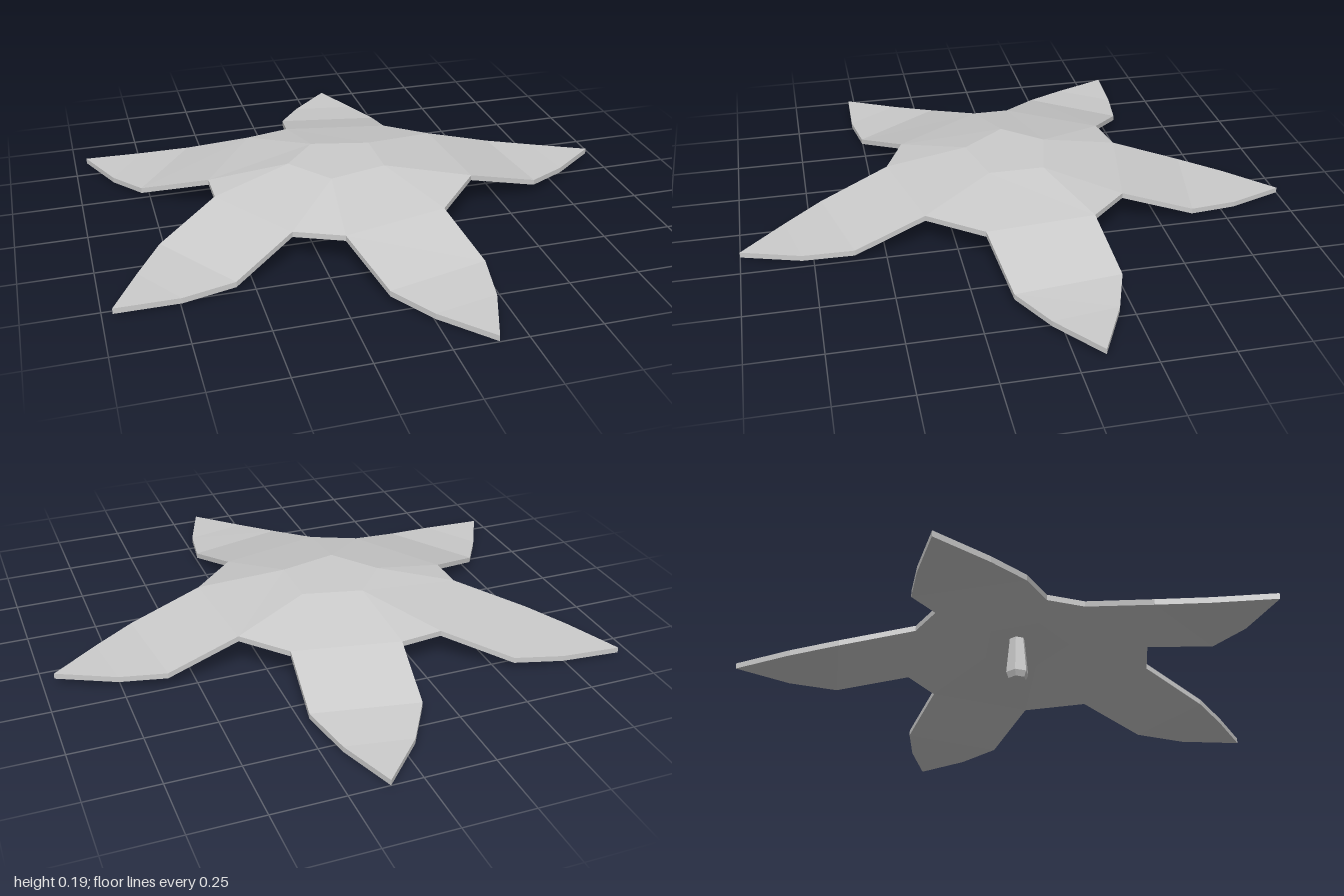
import * as THREE from 'three';

const THICKNESS = 0.02;

// Centre pentagon, anticlockwise from above: [x, z]
const CORE = [[0.06, 0.1], [0.06, -0.1], [-0.15, -0.15], [-0.27, -0.01], [-0.15, 0.15]];

// Each petal: outline [x, z] base, shoulder, middle, tip, middle, shoulder, base,
// and the top heights at base, shoulder, middle, tip
const PETALS = [
  { outline: [[0.37, 0.17], [0.64, 0.13], [0.79, 0.04], [0.96, -0.09], [0.76, -0.19], [0.6, -0.245], [0.34, -0.22]],
    heights: [0.135, 0.058, 0.046, 0.045] },
  { outline: [[0.2, -0.36], [0.23, -0.62], [0.185, -0.8], [0.11, -1], [-0.045, -0.84], [-0.14, -0.69], [-0.18, -0.435]],
    heights: [0.125, 0.045, 0.026, 0.02] },
  { outline: [[-0.34, -0.41], [-0.56, -0.55], [-0.74, -0.58], [-0.955, -0.595], [-0.87, -0.39], [-0.78, -0.245], [-0.55, -0.09]],
    heights: [0.12, 0.042, 0.028, 0.025] },
  { outline: [[-0.55, 0.045], [-0.77, 0.19], [-0.865, 0.34], [-0.965, 0.525], [-0.745, 0.53], [-0.565, 0.505], [-0.345, 0.37]],
    heights: [0.12, 0.042, 0.028, 0.025] },
  { outline: [[-0.18, 0.445], [-0.105, 0.7], [0, 0.84], [0.15, 1], [0.225, 0.79], [0.255, 0.61], [0.2, 0.355]],
    heights: [0.12, 0.045, 0.028, 0.022] },
];

function leafGeometry() {
  const core = CORE.map(([x, z]) => [x, 0.185, z]);
  const petals = PETALS.map(({ outline, heights }) =>
    outline.map(([x, z], i) => [x, heights[3 - Math.abs(3 - i)], z]));
  const positions = [];
  const lower = ([x, y, z]) => [x, y - THICKNESS, z];
  const fan = (pts) => {
    for (let i = 1; i < pts.length - 1; i++) positions.push(...pts[0], ...pts[i], ...pts[i + 1]);
  };
  // A facet on the top and its reversed copy on the underside
  const facet = (...pts) => {
    fan(pts);
    fan(pts.map(lower).reverse());
  };

  facet(...core);
  petals.forEach((p, i) => {
    const a = core[i], b = core[(i + 1) % 5];
    const next = petals[(i + 1) % 5];
    facet(a, p[0], p[6], b);          // slope from the centre
    facet(p[0], p[1], p[5], p[6]);    // drooping blade
    facet(p[1], p[2], p[4], p[5]);    // outer blade
    facet(p[2], p[3], p[4]);          // tip
    facet(b, p[6], next[0]);          // web between petals
  });

  // Rim wall
  const rim = petals.flat();
  rim.forEach((p, i) => {
    const q = rim[(i + 1) % rim.length];
    fan([p, lower(p), lower(q), q]);
  });

  const geometry = new THREE.BufferGeometry();
  geometry.setAttribute('position', new THREE.Float32BufferAttribute(positions, 3));
  geometry.computeVertexNormals();
  return geometry;
}

export function createModel() {
  const group = new THREE.Group();
  group.name = 'fivePetalLeaf';
  const material = new THREE.MeshStandardMaterial({ color: 0xcccccc, flatShading: true });

  const leaf = new THREE.Mesh(leafGeometry(), material);
  leaf.name = 'petals';
  group.add(leaf);

  // Short six-sided stem under the centre, chamfered at its foot
  const profile = [[0, 0.008], [0.033, 0.008], [0.042, 0.03], [0.028, 0.17]]
    .map(([r, y]) => new THREE.Vector2(r, y));
  const stem = new THREE.Mesh(new THREE.LatheGeometry(profile, 6), material);
  stem.name = 'stem';
  stem.position.set(-0.12, 0, -0.04);
  group.add(stem);

  return group;
}
